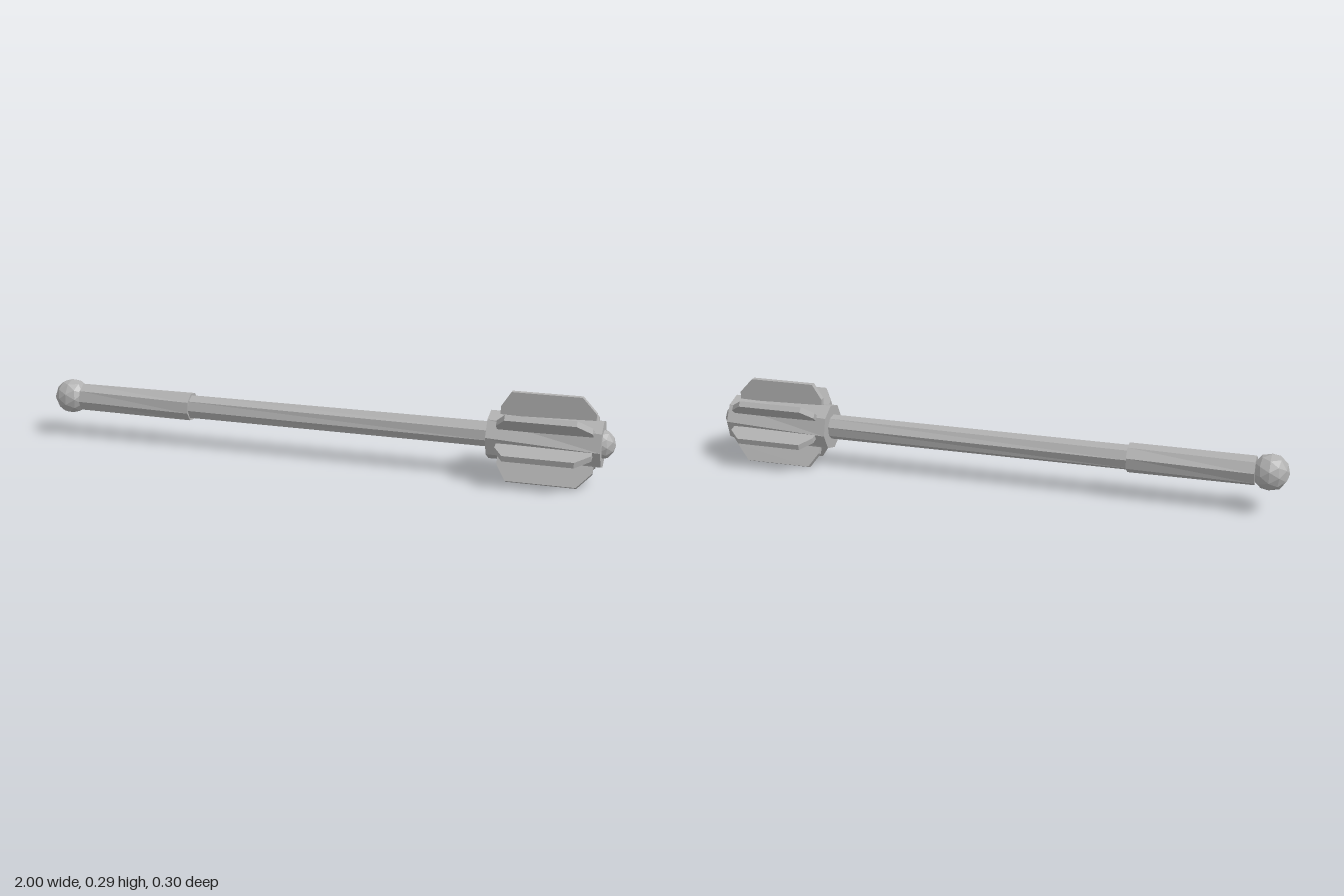
import * as THREE from 'three';

const AXIS_Y = 0.145;

export function createModel() {
  const steel = new THREE.MeshStandardMaterial({ color: 0xb0b0b0 });
  steel.name = 'steelGrey';
  steel.flatShading = true;

  const mace = new THREE.Group();
  mace.name = 'flangedMace';
  mace.position.y = AXIS_Y;

  const add = (name, geometry) => {
    const mesh = new THREE.Mesh(geometry, steel);
    mesh.name = name;
    mace.add(mesh);
    return mesh;
  };

  // Eight-sided bar along x; the ends are turned to give a slight twist
  const bar = (name, x0, x1, radius, turn0, turn1) => {
    const g = new THREE.CylinderGeometry(radius, radius, x1 - x0, 8, 1);
    g.rotateZ(-Math.PI / 2);
    const p = g.attributes.position;
    const v = new THREE.Vector3();
    const xAxis = new THREE.Vector3(1, 0, 0);
    for (let i = 0; i < p.count; i++) {
      v.fromBufferAttribute(p, i);
      v.applyAxisAngle(xAxis, v.x < 0 ? turn0 : turn1);
      p.setXYZ(i, v.x, v.y, v.z);
    }
    g.translate((x0 + x1) / 2, 0, 0);
    g.computeVertexNormals();
    return add(name, g);
  };

  // Faceted ball with a vertex pointing along x
  const ball = (name, x, radius) => {
    const g = new THREE.IcosahedronGeometry(radius, 1);
    g.rotateY(Math.atan2(2, 1 + Math.sqrt(5)));
    g.translate(x, 0, 0);
    return add(name, g);
  };

  ball('pommel', -0.938, 0.062);
  bar('grip', -0.89, -0.47, 0.05, 0.12, 0.26);
  bar('shaft', -0.5, 0.62, 0.043, 0.1, 0.25);
  bar('headCore', 0.59, 0.96, 0.081, -0.12, 0.1);
  ball('tip', 0.95, 0.05);

  // Seven bevelled flanges around the head
  const thickness = 0.02;
  const profile = new THREE.Shape([
    [0.625, 0.06], [0.935, 0.06], [0.935, 0.1], [0.888, 0.151], [0.658, 0.151], [0.625, 0.1],
  ].map(([x, y]) => new THREE.Vector2(x, y)));
  const flange = new THREE.ExtrudeGeometry(profile, { depth: thickness, bevelEnabled: false });
  flange.translate(0, 0, -thickness / 2);
  for (let i = 0; i < 7; i++) {
    add(`flange${i + 1}`, flange).rotation.x = (i * Math.PI * 2) / 7;
  }

  const model = new THREE.Group();
  model.name = 'mace';
  model.add(mace);
  return model;
}
